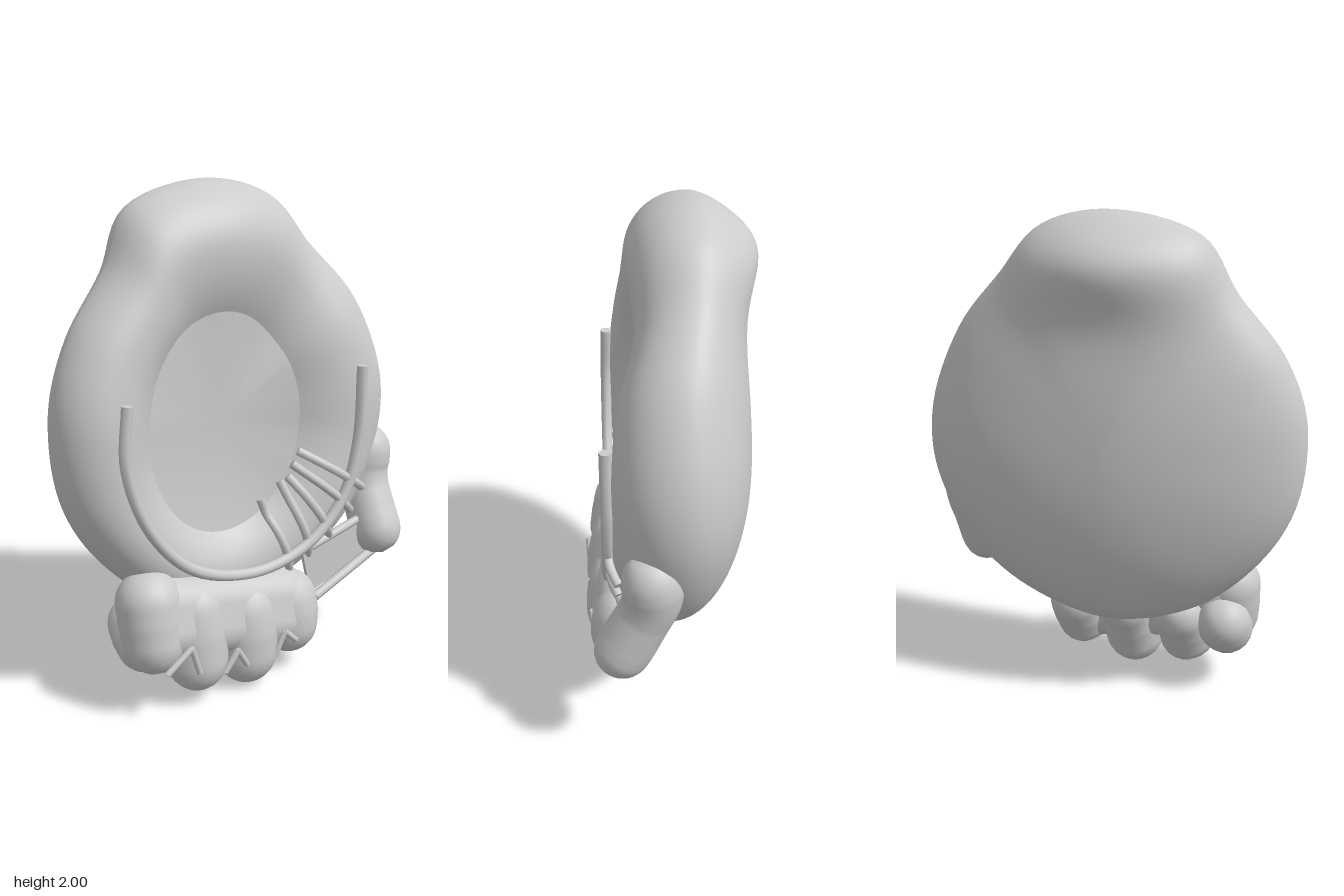
import * as THREE from 'three';
import { mergeVertices } from 'three/addons/utils/BufferGeometryUtils.js';
import { RoundedBoxGeometry } from 'three/addons/geometries/RoundedBoxGeometry.js';

const V = (x, y, z) => new THREE.Vector3(x, y, z);
const { lerp } = THREE.MathUtils;

// Rim outline, clockwise from the top: x, y, z of the crest, z of the outer edge
const RIM = [
  [-0.04, 2.0, 0.15, -0.1], [0.24, 1.94, 0.14, -0.09], [0.42, 1.75, 0.14, -0.07], [0.62, 1.52, 0.21, -0.02],
  [0.755, 1.2, 0.24, 0], [0.75, 0.9, 0.24, 0.005], [0.6, 0.6, 0.24, 0.02], [0.35, 0.4, 0.22, 0.02],
  [0, 0.3, 0.2, 0.02], [-0.35, 0.39, 0.19, 0.02], [-0.6, 0.6, 0.19, 0.02], [-0.75, 0.87, 0.19, 0.02],
  [-0.775, 1.2, 0.19, 0.015], [-0.68, 1.47, 0.17, -0.01], [-0.5, 1.7, 0.15, -0.05], [-0.36, 1.92, 0.14, -0.09],
];
const closed = (k) => new THREE.CatmullRomCurve3(RIM.map((p) => V(p[0], p[1], p[k])), true, 'catmullrom');
const crestRim = closed(2);
const outerRim = closed(3);

// Cross-section of the padded ring at position u around the rim
function ringAt(u) {
  const outer = outerRim.getPoint(u);
  const crest = crestRim.getPoint(u).z;
  const a = Math.atan2(outer.y - 1.08, outer.x + 0.08);
  const k = 1 / Math.hypot(Math.cos(a) / 0.35, Math.sin(a) / 0.44);
  const inner = V(-0.08 + k * Math.cos(a), 1.08 + k * Math.sin(a), crest * 0.6);
  return { inner, outer, crest };
}

// Pocket edge to crest, crest to outside, then the domed back
function shellPoint(u, v) {
  const { inner, outer, crest } = ringAt(u);
  if (v <= 0.2) {
    const t = v / 0.2;
    const p = inner.clone().lerp(outer, t / 2);
    p.z = lerp(crest, inner.z, (1 - t) ** 2);
    return p;
  }
  if (v <= 0.45) {
    const a = ((v - 0.2) / 0.25) * (Math.PI / 2);
    const p = inner.clone().lerp(outer, 0.5 + 0.5 * Math.sin(a));
    p.z = lerp(outer.z, crest, Math.cos(a));
    return p;
  }
  // The dome is fuller on the thumb side, with a raised pad at the top
  const s = Math.cos(((v - 0.45) / 0.55) * (Math.PI / 2));
  const p = V(-0.04, 1.1, 0).lerp(outer, s);
  const dome = Math.sqrt(1 - s ** (2.1 + 0.7 * outer.x));
  const pad = 0.135 * Math.exp(-(((p.x + 0.04) / 0.36) ** 2) - ((p.y - 1.86) / 0.19) ** 2);
  p.z = lerp(outer.z, -0.315, dome) - pad * Math.sqrt(1 - s ** 6);
  return p;
}

function pocketPoint(u, s) {
  const { inner } = ringAt(u);
  const p = V(-0.08, 1.08, 0).lerp(inner, s);
  p.z = lerp(0.08, inner.z, s * s);
  return p;
}

// Surface closed around u and open along v
function loopSurface(fn, nu, nv) {
  const pos = [];
  const idx = [];
  for (let i = 0; i <= nv; i++) {
    for (let j = 0; j < nu; j++) {
      pos.push(...fn(j / nu, i / nv).toArray());
      if (i === nv) continue;
      const a = i * nu + j;
      const b = i * nu + ((j + 1) % nu);
      idx.push(a, b, b + nu, a, b + nu, a + nu);
    }
  }
  const g = new THREE.BufferGeometry();
  g.setAttribute('position', new THREE.Float32BufferAttribute(pos, 3));
  g.setIndex(idx);
  const m = mergeVertices(g, 1e-5);
  m.computeVertexNormals();
  return m;
}

// Round-ended limb following a curve; radii are spread evenly along it
function limbGeometry(pts, radii) {
  const curve = new THREE.CatmullRomCurve3(pts);
  const n = 40;
  const sides = 20;
  const g = new THREE.TubeGeometry(curve, n, 1, sides, false);
  const pos = g.attributes.position;
  const len = curve.getLength();
  for (let i = 0; i <= n; i++) {
    const t = i / n;
    const c = curve.getPointAt(t);
    const f = t * (radii.length - 1);
    const k = Math.min(Math.floor(f), radii.length - 2);
    let r = lerp(radii[k], radii[k + 1], f - k);
    const end = Math.min(t, 1 - t) * len;
    if (end < r) r *= Math.sqrt(Math.max(0, 1 - (1 - end / r) ** 2));
    for (let j = 0; j <= sides; j++) {
      const q = i * (sides + 1) + j;
      const p = V().fromBufferAttribute(pos, q).sub(c).multiplyScalar(r).add(c);
      pos.setXYZ(q, p.x, p.y, p.z);
    }
  }
  g.deleteAttribute('uv');
  g.deleteAttribute('normal');
  const m = mergeVertices(g, 1e-5);
  m.computeVertexNormals();
  return m;
}

export function createModel() {
  const group = new THREE.Group();
  const leather = new THREE.MeshStandardMaterial({ color: 0xcccccc });
  leather.name = 'grey leather';
  const add = (name, geometry) => {
    const mesh = new THREE.Mesh(geometry, leather);
    mesh.name = name;
    group.add(mesh);
    return mesh;
  };

  // Padded body and pocket
  const shell = add('paddedBody', loopSurface(shellPoint, 112, 80)).geometry.attributes.position;
  add('pocket', loopSurface(pocketPoint, 112, 12));

  // Height of the padding's front at a point, for laying laces on it
  const frontZ = (x, y) => {
    let best = 1;
    let z = 0;
    for (let i = 0; i < shell.count; i++) {
      if (shell.getZ(i) < 0.05) continue;
      const d = Math.hypot(shell.getX(i) - x, shell.getY(i) - y);
      if (d < best) [best, z] = [d, shell.getZ(i)];
    }
    return z;
  };

  // Cords with flat ends
  const cord = (name, pts, r) => {
    const curve = new THREE.CatmullRomCurve3(pts);
    add(name, new THREE.TubeGeometry(curve, pts.length * 6, r, 8));
    for (const t of [0, 1]) {
      const cap = add(name + 'End', new THREE.CircleGeometry(r, 8));
      cap.position.copy(curve.getPointAt(t));
      const dir = curve.getTangentAt(t).multiplyScalar(t ? 1 : -1);
      cap.quaternion.setFromUnitVectors(V(0, 0, 1), dir);
    }
  };

  // Curved lace around the pocket
  cord('rimLace', [
    V(-0.575, 1.26, 0.205), V(-0.59, 1.03, 0.21), V(-0.5, 0.77, 0.215), V(-0.3, 0.56, 0.22), V(0, 0.48, 0.23),
    V(0.25, 0.55, 0.25), V(0.42, 0.72, 0.26), V(0.49, 0.95, 0.26), V(0.5, 1.26, 0.26),
  ], 0.023);

  // Short laces crossing the padding beside the thumb
  const crossings = [
    [0.07, 0.75, 0.185, 0.41], [0.16, 0.81, 0.29, 0.44], [0.2, 0.82, 0.4, 0.51],
    [0.22, 0.87, 0.49, 0.63], [0.25, 0.92, 0.55, 0.72],
  ];
  for (const [x0, y0, x1, y1] of crossings) {
    const pts = [];
    for (let i = 0; i <= 5; i++) {
      const x = lerp(x0, x1, i / 5);
      const y = lerp(y0, y1, i / 5);
      pts.push(V(x, y, frontZ(x, y) + 0.018));
    }
    cord('crossLace', pts, 0.018);
  }

  // Fingers: centre x, top and tip heights, radius; each curls from the back to the front
  for (const [x, top, tip, r] of [
    [-0.475, 0.58, 0.18, 0.13], [-0.29, 0.5, 0.05, 0.135], [-0.05, 0.43, 0.005, 0.14], [0.175, 0.4, 0.07, 0.13],
  ]) {
    add('finger', limbGeometry([V(x, top, 0.13), V(x, 0.31, 0.185), V(x, tip, 0.225)], [r, r, r * 0.85]));
    add('fingerBack', limbGeometry([V(x, 0.41, -0.02), V(x, 0.28, 0.1), V(x, tip + 0.03, 0.22)], [0.1, 0.115, 0.105]));
  }
  const palm = add('palm', new RoundedBoxGeometry(0.84, 0.34, 0.25, 8, 0.124));
  palm.position.set(-0.155, 0.33, 0.173);
  palm.rotation.set(-0.25, 0, -0.18);

  // Stitches between the fingers
  for (const [lx, ly, px, py, rx, ry] of [
    [-0.5, 0.22, -0.39, 0.3, -0.35, 0.18], [-0.23, 0.14, -0.17, 0.22, -0.12, 0.14], [0.02, 0.13, 0.065, 0.23, 0.13, 0.17],
  ]) {
    cord('stitch', [V(lx, ly, 0.315), V(px, py, 0.32)], 0.013);
    cord('stitch', [V(px, py, 0.32), V(rx, ry, 0.315)], 0.013);
  }

  // Thumb
  add('thumb', limbGeometry(
    [V(0.69, 0.94, 0.13), V(0.665, 0.75, 0.11), V(0.655, 0.58, 0.18), V(0.65, 0.41, 0.275)],
    [0.1, 0.115, 0.105, 0.11, 0.105],
  ));

  // Web between thumb and fingers with its two cords
  const web = new THREE.Shape([
    new THREE.Vector2(0.24, 0.5), new THREE.Vector2(0.29, 0.3), new THREE.Vector2(0.65, 0.42), new THREE.Vector2(0.62, 0.58),
  ]);
  add('web', new THREE.ExtrudeGeometry(web, { depth: 0.016, bevelEnabled: false })).position.z = 0.2;
  cord('webCord', [V(0.285, 0.295, 0.25), V(0.66, 0.425, 0.23)], 0.02);
  cord('webCord', [V(0.28, 0.51, 0.22), V(0.62, 0.575, 0.2)], 0.018);

  return group;
}
